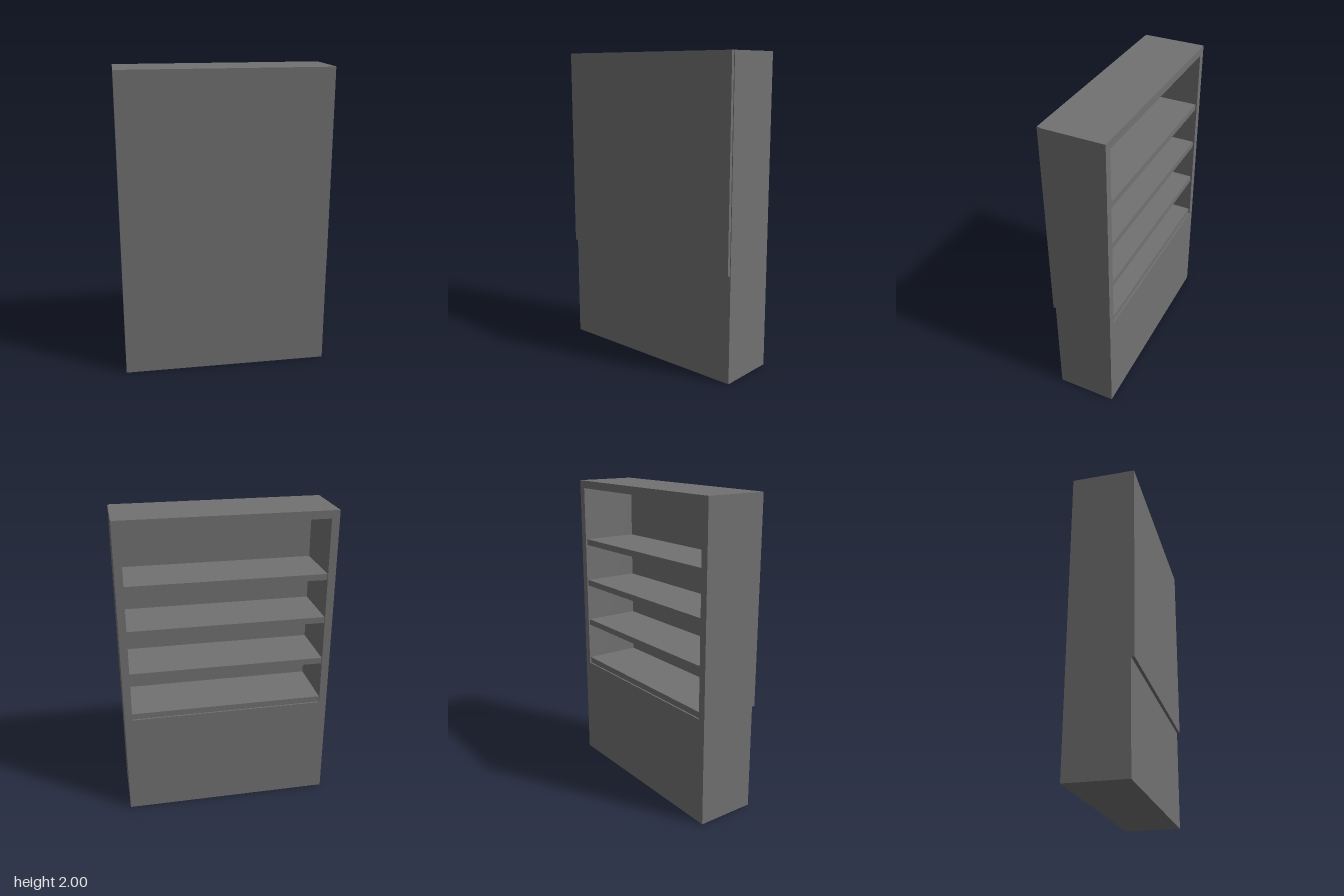
import * as THREE from 'three';

const material = new THREE.MeshStandardMaterial({ color: 0x717171 });

// Box given by its lower and upper corners
function box(name, [x0, y0, z0], [x1, y1, z1]) {
  const mesh = new THREE.Mesh(new THREE.BoxGeometry(x1 - x0, y1 - y0, z1 - z0), material);
  mesh.position.set((x0 + x1) / 2, (y0 + y1) / 2, (z0 + z1) / 2);
  mesh.name = name;
  return mesh;
}

export function createModel() {
  const group = new THREE.Group();
  group.name = 'shelfCabinet';

  const halfWidth = 0.68, height = 2, board = 0.05;
  const back = -0.203, front = 0.183, panelFront = 0.203;
  const baseTop = 0.69, inner = halfWidth - board;

  // Carcass: two full-height sides, a top board and a closed base
  group.add(
    box('leftSide', [inner, 0, back], [halfWidth, height, front]),
    box('rightSide', [-halfWidth, 0, back], [-inner, height, front]),
    box('topBoard', [-inner, height - board, back], [inner, height, front]),
    box('base', [-inner, 0, back], [inner, baseTop, front])
  );

  // Front panel closes the upper part and stands proud of the base
  group.add(box('frontPanel', [-halfWidth, baseTop, front], [halfWidth - 0.005, height, panelFront]));

  // Shelves, open to the back and set slightly in from the carcass edge
  const shelfThickness = 0.04, shelfPitch = 0.29, shelfBack = back + 0.01;
  for (let i = 0; i < 4; i++) {
    const y = baseTop + i * shelfPitch;
    group.add(box(`shelf${i + 1}`, [-inner, y, shelfBack], [inner, y + shelfThickness, front]));
  }
  return group;
}
